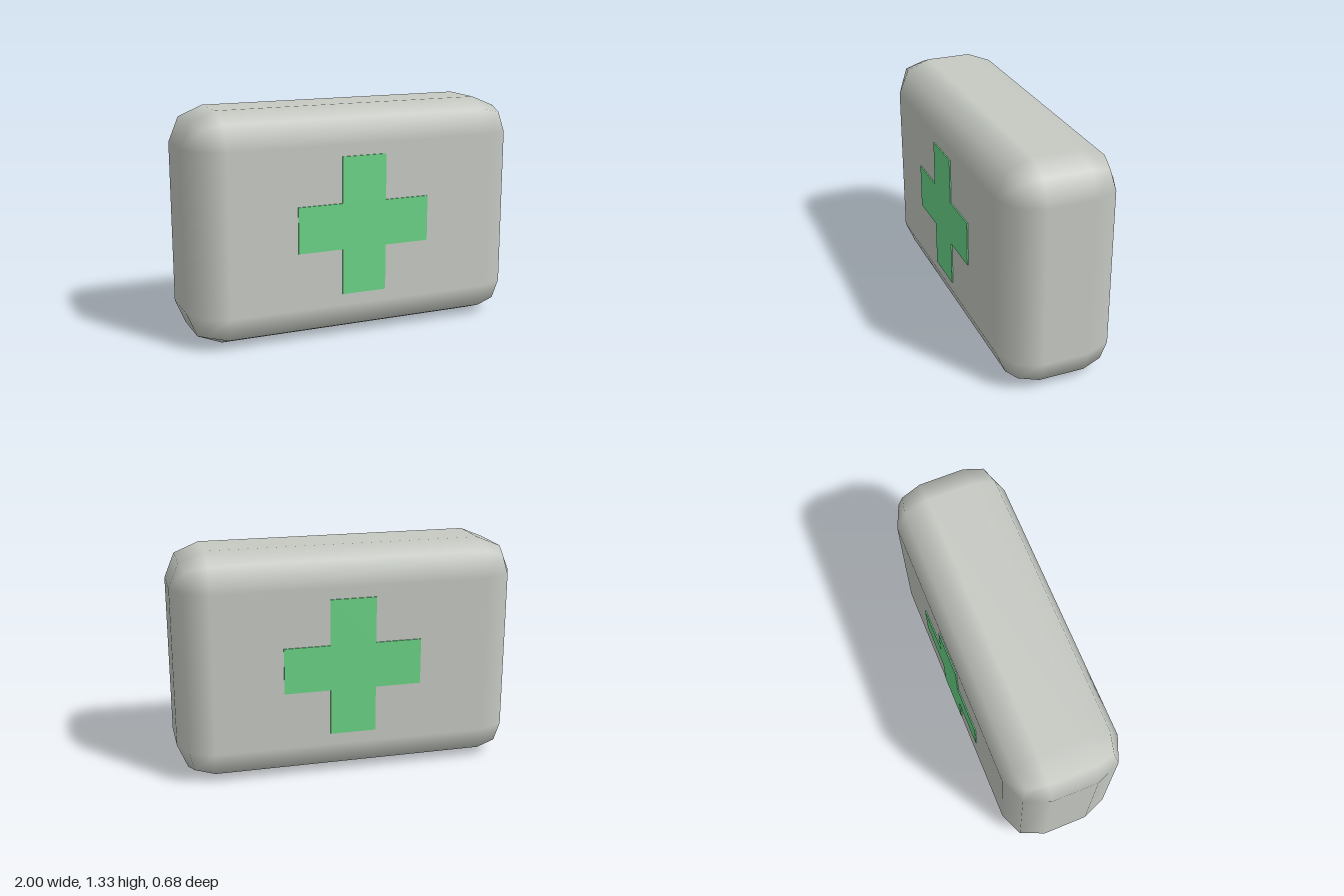
import * as THREE from 'three';
import { RoundedBoxGeometry } from 'three/addons/geometries/RoundedBoxGeometry.js';

const W = 2, H = 4 / 3, D = 2 / 3;

export function createModel() {
  const caseGrey = new THREE.MeshStandardMaterial({ color: 0xc6cac3 });
  caseGrey.name = 'case grey';
  const crossGreen = new THREE.MeshStandardMaterial({ color: 0x6bd587 });
  crossGreen.name = 'cross green';

  const model = new THREE.Group();
  model.name = 'firstAidCase';

  // Rounded case: each edge is rounded in two smooth steps
  const body = new THREE.Mesh(new RoundedBoxGeometry(W, H, D, 1, 0.2), caseGrey);
  body.name = 'case';
  body.position.y = H / 2;
  model.add(body);

  // Thin cross plate, outlined by turning one arm through four quarters
  const arm = 0.4, half = 0.4 / 3;
  const points = [];
  for (let i = 0; i < 4; i++) {
    for (const [x, y] of [[arm, -half], [arm, half], [half, half]]) {
      points.push(new THREE.Vector2(x, y).rotateAround(new THREE.Vector2(), i * Math.PI / 2));
    }
  }
  const plate = new THREE.ExtrudeGeometry(new THREE.Shape(points), { depth: 0.008, bevelEnabled: false });

  // One cross on the front and one on the back
  for (const [name, side] of [['frontCross', 1], ['backCross', -1]]) {
    const cross = new THREE.Mesh(plate, crossGreen);
    cross.name = name;
    cross.position.set(0, H / 2, side * (D / 2 - 0.001));
    if (side < 0) cross.rotation.y = Math.PI;
    model.add(cross);
  }
  return model;
}
